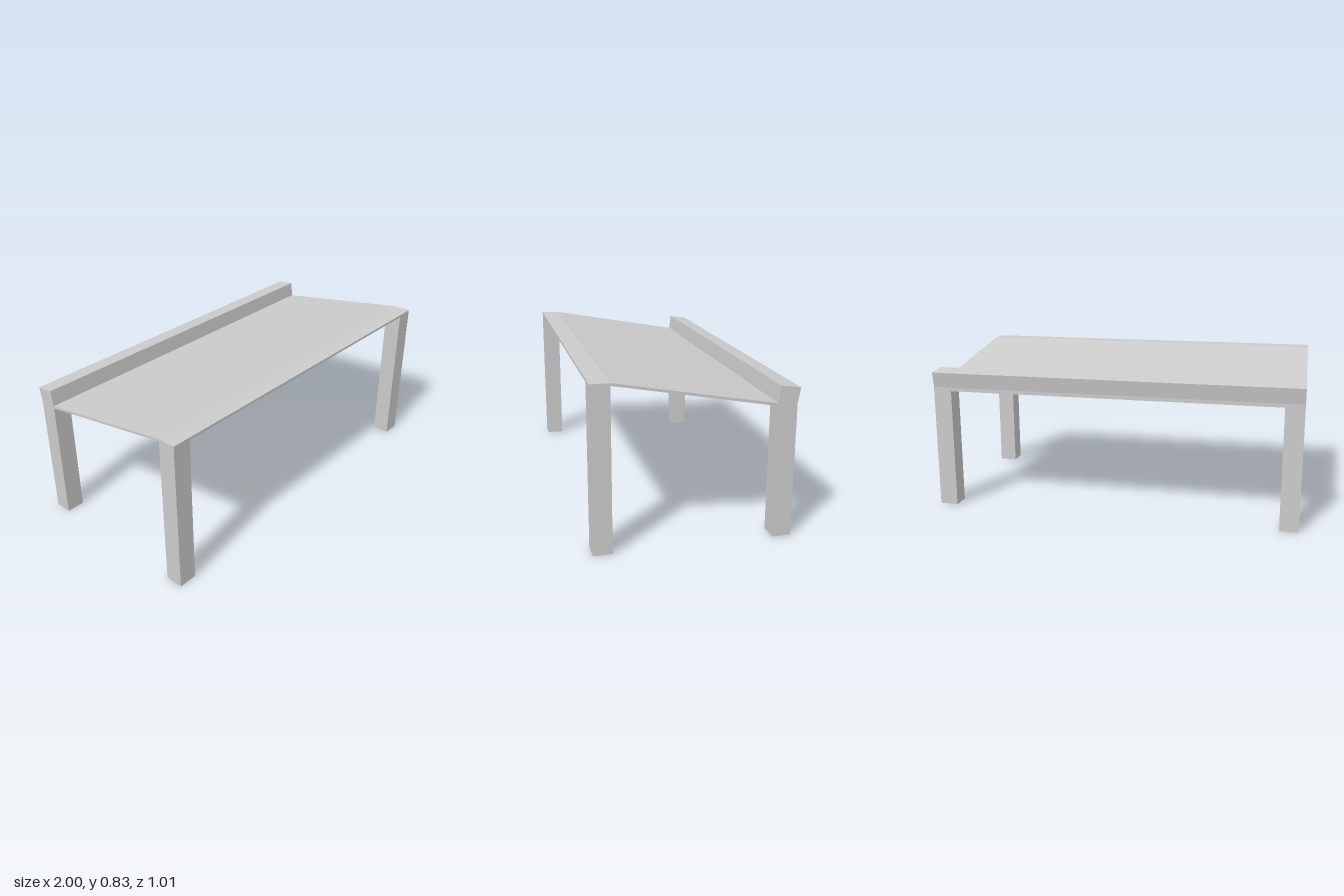
import * as THREE from 'three';

const material = new THREE.MeshStandardMaterial({ color: 0xcccccc, flatShading: true });

// Extrude a side profile of [z, y] points across x, from x0 to x1
function sideExtrusion(name, points, x0, x1) {
  const shape = new THREE.Shape(points.map(([z, y]) => new THREE.Vector2(z, y)));
  const geometry = new THREE.ExtrudeGeometry(shape, { depth: x1 - x0, bevelEnabled: false });
  geometry.rotateY(-Math.PI / 2).translate(x1, 0, 0);
  const mesh = new THREE.Mesh(geometry, material);
  mesh.name = name;
  return mesh;
}

export function createModel() {
  const group = new THREE.Group();
  group.name = 'slopedTable';

  // Thin top: flat front strip, sloping board and raised, tilted back rail
  group.add(sideExtrusion('slopedTop', [
    [0.504, 0.82], [0.504, 0.833], [0.408, 0.833], [-0.394, 0.687],
    [-0.405, 0.772], [-0.504, 0.758], [-0.49, 0.676], [-0.49, 0.656],
    [-0.394, 0.673], [0.408, 0.82],
  ], -1, 1));

  // Four square legs; the back pair is cut to the slope of the board
  const frontLeg = [[0.504, 0], [0.504, 0.82], [0.408, 0.82], [0.408, 0]];
  const backLeg = [[-0.394, 0], [-0.394, 0.673], [-0.49, 0.656], [-0.49, 0]];
  for (const [side, x0] of [['Left', 0.9], ['Right', -1]]) {
    group.add(sideExtrusion('frontLeg' + side, frontLeg, x0, x0 + 0.1));
    group.add(sideExtrusion('backLeg' + side, backLeg, x0, x0 + 0.1));
  }

  return group;
}
